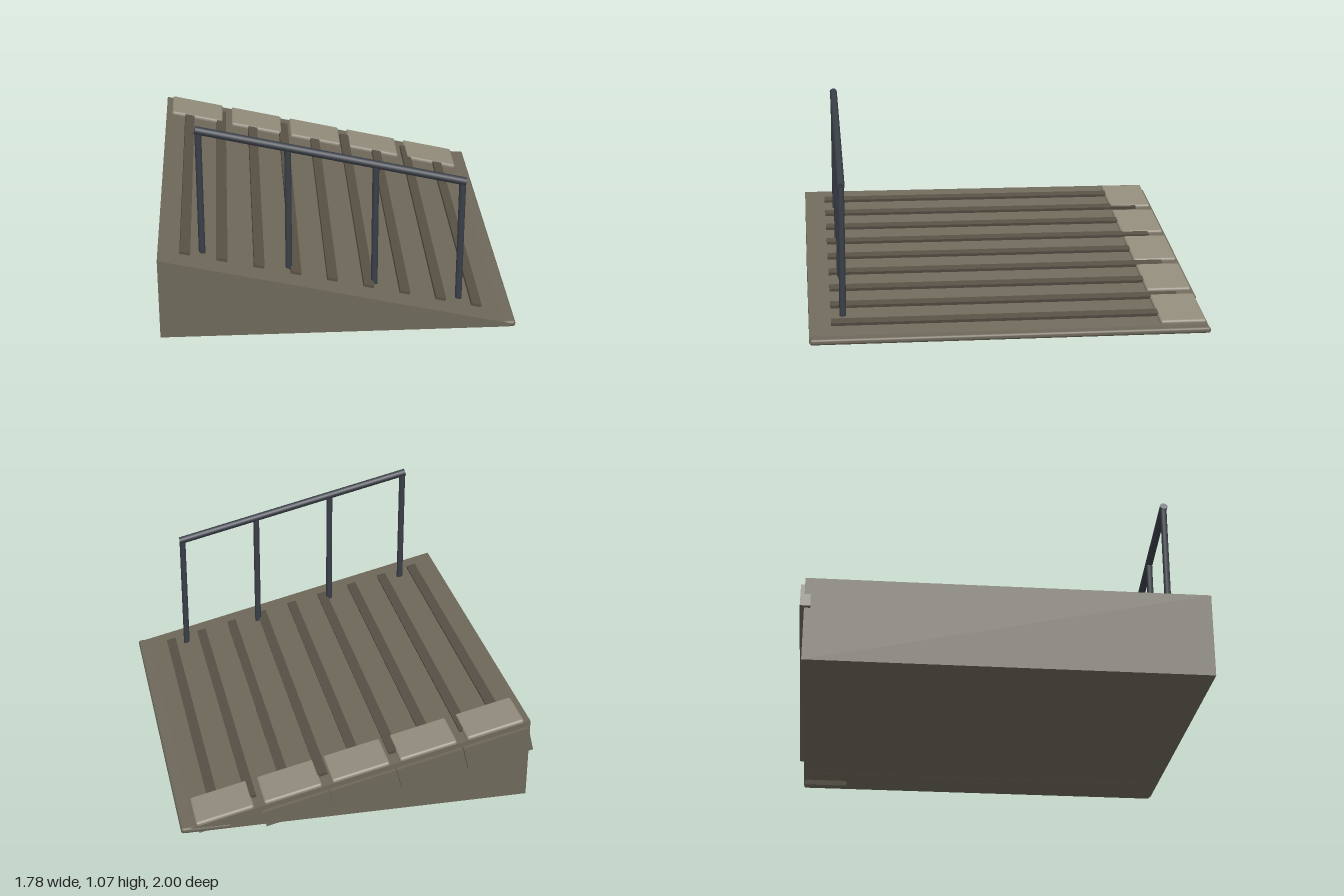
import * as THREE from 'three';
import { RoundedBoxGeometry } from 'three/addons/geometries/RoundedBoxGeometry.js';

const SLOPE = -0.238;
const ANGLE = Math.atan(SLOPE);
const surfaceY = (x) => 0.45 + SLOPE * (x + 0.88);

const material = (color) => new THREE.MeshStandardMaterial({ color });
const concrete = material(0x6e685a);
const cleatMat = material(0x565044);
const stone = material(0x918b7b);
const metal = material(0x3a3f47);

export function createModel() {
  const model = new THREE.Group();

  const add = (name, geometry, mat, x, y, z, tilt = 0, parent = model) => {
    const mesh = new THREE.Mesh(geometry, mat);
    mesh.name = name;
    mesh.position.set(x, y, z);
    mesh.rotation.z = tilt;
    parent.add(mesh);
    return mesh;
  };
  const addGroup = (name) => {
    const group = new THREE.Group();
    group.name = name;
    model.add(group);
    return group;
  };
  // Place a part in the tilted frame: 'offset' is its distance out from the slope at x
  const addOnSlope = (name, geometry, mat, x, offset, z, parent) =>
    add(name, geometry, mat,
      x - Math.sin(ANGLE) * offset, surfaceY(x) + Math.cos(ANGLE) * offset, z, ANGLE, parent);

  // Solid wedge
  const side = new THREE.Shape();
  side.moveTo(-0.88, 0.02);
  side.lineTo(0.85, 0.02);
  side.lineTo(0.85, surfaceY(0.85));
  side.lineTo(-0.88, surfaceY(-0.88));
  side.closePath();
  const wedge = new THREE.ExtrudeGeometry(side, { depth: 1.98, bevelEnabled: false });
  add('rampWedge', wedge, concrete, 0, 0, -0.98);

  // Rounded lip along the low edge
  add('rampLip', new RoundedBoxGeometry(0.25, 0.03, 1.98, 2, 0.012), concrete, 0.755, 0.031, 0.008);

  // Grip cleats across the slope
  const cleats = addGroup('gripCleats');
  for (let i = 0; i < 9; i++) {
    addOnSlope('cleat', new THREE.BoxGeometry(0.052, 0.03, 1.78), cleatMat,
      -0.75 + i * 0.1806, 0, 0, cleats);
  }

  // Kerb stones along the back edge of the slope
  const kerb = addGroup('kerbStones');
  for (let i = 0; i < 5; i++) {
    addOnSlope('kerbStone', new RoundedBoxGeometry(0.3, 0.065, 0.235, 1, 0.012), stone,
      -0.705 + i * 0.341, -0.015, -0.86, kerb);
  }

  // Facing panels on the back wall, shorter toward the low end
  const panels = addGroup('backPanels');
  for (let i = 0; i < 4; i++) {
    const height = 0.13 - i * 0.015;
    addOnSlope('backPanel', new THREE.BoxGeometry(0.34, height, 0.05), concrete,
      -0.695 + i * 0.338, -0.025 - height / 2, -0.975, panels);
  }

  // Handrail with four posts
  const handrail = addGroup('handrail');
  const railY = (x) => 1.055 + SLOPE * (x + 0.665);
  for (let i = 0; i < 4; i++) {
    const x = -0.665 + i * 0.4257;
    const bottom = surfaceY(x) - 0.03;
    const height = railY(x) - bottom;
    add('railPost', new THREE.CylinderGeometry(0.017, 0.017, height, 10), metal,
      x, bottom + height / 2, 0.83, 0, handrail);
  }
  add('topRail', new THREE.CylinderGeometry(0.02, 0.02, 1.345, 10), metal,
    -0.026, railY(-0.026), 0.83, ANGLE + Math.PI / 2, handrail);

  return model;
}
